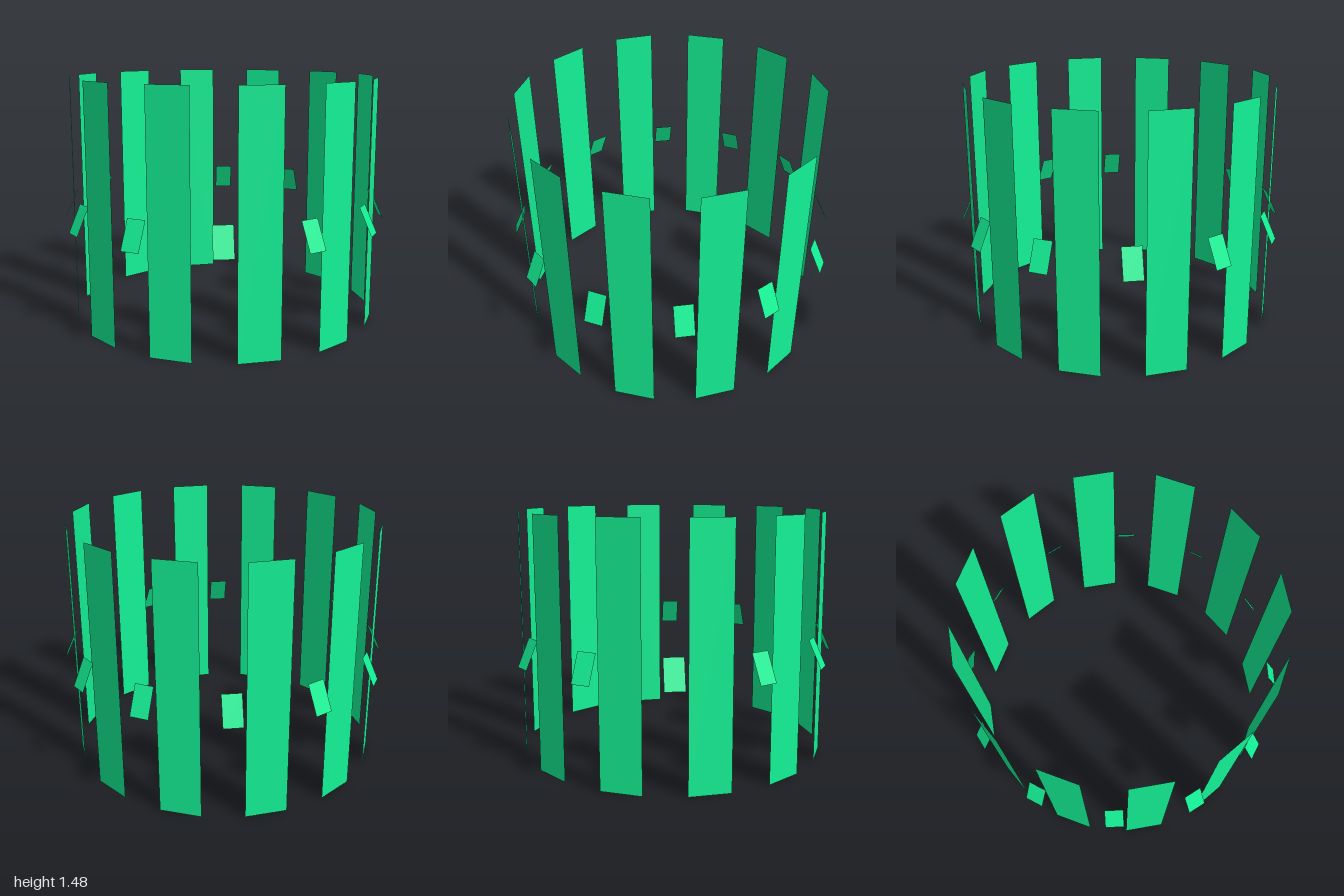
import * as THREE from 'three';

const COUNT = 12;
const RADIUS = 0.932;
const HEIGHT = 1.475;

export function createModel() {
  const model = new THREE.Group();
  model.name = 'slattedRing';
  const material = new THREE.MeshStandardMaterial({
    color: 0x14f195, side: THREE.DoubleSide, flatShading: true,
  });

  // Tall slat: one flat facet of a 24-sided ring, every other facet is open
  const facet = Math.PI / COUNT;
  const slatGeometry = new THREE.PlaneGeometry(2 * RADIUS * Math.sin(facet / 2), HEIGHT);
  slatGeometry.translate(0, HEIGHT / 2, RADIUS * Math.cos(facet / 2));
  slatGeometry.rotateY(facet / 2);

  // Small tile: sits in the gap beside each slat, its lower edge leaning out
  const rise = 0.165, lean = 0.075;
  const tileGeometry = new THREE.PlaneGeometry(0.112, Math.hypot(rise, lean));
  tileGeometry.rotateX(-Math.atan2(lean, rise));
  tileGeometry.translate(-0.076, 0.68, 0.953);

  for (let i = 0; i < COUNT; i++) {
    const bay = new THREE.Group();
    bay.name = `bay${i + 1}`;
    bay.rotation.y = (i / COUNT) * Math.PI * 2;

    const slat = new THREE.Mesh(slatGeometry, material);
    slat.name = 'slat';
    const tile = new THREE.Mesh(tileGeometry, material);
    tile.name = 'tiltedTile';

    bay.add(slat, tile);
    model.add(bay);
  }
  return model;
}
